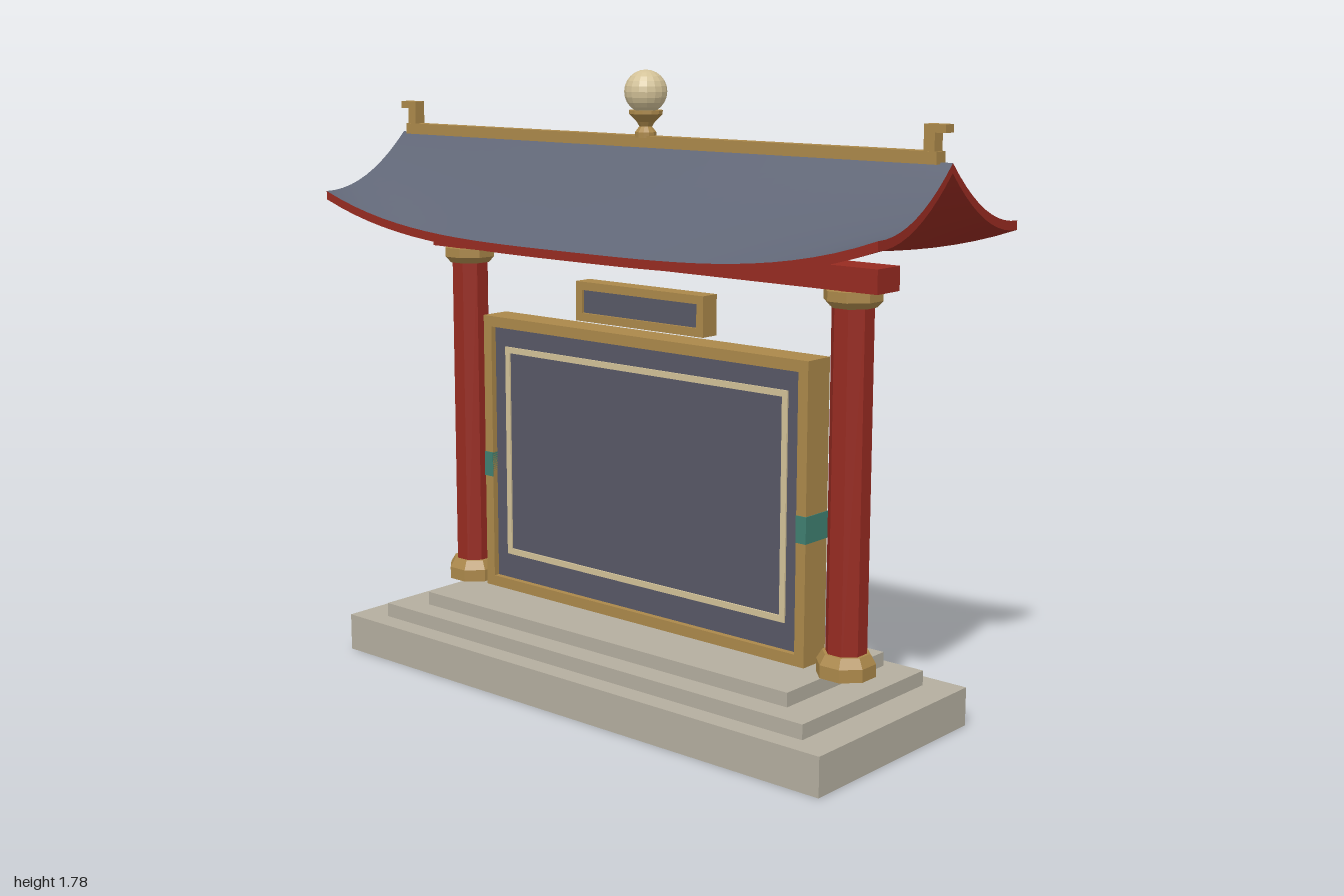
import * as THREE from 'three';
import { ParametricGeometry } from 'three/addons/geometries/ParametricGeometry.js';

const CZ = -0.02; // depth of the centre line of posts, board and ridge

function makeMaterial(name, color, extra = {}) {
  const m = new THREE.MeshStandardMaterial({ color, ...extra });
  m.name = name;
  return m;
}

export function createModel() {
  const model = new THREE.Group();
  model.name = 'noticeBoard';
  const both = { side: THREE.DoubleSide };
  const stone = makeMaterial('stone', 0xb4ae9f, both);
  const red = makeMaterial('red lacquer', 0x972b21, both);
  const tile = makeMaterial('roof slate', 0x606676, both);
  const slate = makeMaterial('board slate', 0x575866);
  const gold = makeMaterial('gold', 0xab884a);
  const cream = makeMaterial('cream', 0xd3c298);
  const teal = makeMaterial('teal', 0x3f7f70);
  const pale = makeMaterial('pale grey', 0xd6d6d6);

  function add(name, geometry, material, parent = model) {
    const mesh = new THREE.Mesh(geometry, material);
    mesh.name = name;
    parent.add(mesh);
    return mesh;
  }
  // Box given by its limits on each axis
  function box(name, mat, x0, x1, y0, y1, z0, z1, parent) {
    const g = new THREE.BoxGeometry(x1 - x0, y1 - y0, z1 - z0);
    g.translate((x0 + x1) / 2, (y0 + y1) / 2, (z0 + z1) / 2);
    return add(name, g, mat, parent);
  }
  // Rectangular frame with an open middle
  function frame(name, mat, w, y0, y1, t, z0, z1) {
    const s = new THREE.Shape();
    s.moveTo(-w, y0).lineTo(w, y0).lineTo(w, y1).lineTo(-w, y1).closePath();
    const h = new THREE.Path();
    h.moveTo(-w + t, y0 + t).lineTo(-w + t, y1 - t).lineTo(w - t, y1 - t).lineTo(w - t, y0 + t).closePath();
    s.holes.push(h);
    const g = new THREE.ExtrudeGeometry(s, { depth: z1 - z0, bevelEnabled: false });
    g.translate(0, 0, z0);
    return add(name, g, mat);
  }
  // Faceted drum standing on y0
  function drum(name, mat, rTop, rBottom, y0, y1, parent) {
    let g = new THREE.CylinderGeometry(rTop, rBottom, y1 - y0, 8);
    g.rotateY(Math.PI / 8);
    g.translate(0, (y0 + y1) / 2, 0);
    g = g.toNonIndexed();
    g.computeVertexNormals();
    return add(name, g, mat, parent);
  }

  // Stepped plinth, hollow below
  const plinth = box('plinth', stone, -0.89, 0.89, 0, 0.11, -0.34, 0.34);
  const faces = Array.from(plinth.geometry.index.array);
  faces.splice(18, 6); // leave out the bottom face
  plinth.geometry.setIndex(faces);
  plinth.geometry.clearGroups();
  box('middleStep', stone, -0.79, 0.79, 0.11, 0.152, -0.277, 0.277);
  box('upperStep', stone, -0.685, 0.685, 0.152, 0.192, -0.238, 0.203);
  box('innerBlock', pale, -0.035, 0.035, 0.005, 0.075, -0.035, 0.035);

  // Posts with gold feet and capitals
  for (const side of [-1, 1]) {
    const post = new THREE.Group();
    post.name = side > 0 ? 'leftPost' : 'rightPost';
    post.position.set(side * 0.712, 0, CZ);
    drum('shaft', red, 0.057, 0.057, 0.192, 1.23, post);
    drum('foot', gold, 0.082, 0.082, 0.192, 0.228, post);
    drum('footChamfer', gold, 0.066, 0.082, 0.228, 0.255, post);
    drum('capitalChamfer', gold, 0.079, 0.062, 1.185, 1.203, post);
    drum('capital', gold, 0.079, 0.079, 1.203, 1.23, post);
    model.add(post);
  }
  box('crossBeam', red, -0.82, 0.82, 1.23, 1.295, -0.07, 0.03);

  // Board with its frame, inlaid line and side bands
  frame('boardFrame', gold, 0.607, 0.195, 1.035, 0.032, -0.068, 0.028);
  box('board', slate, -0.577, 0.577, 0.225, 1.006, -0.05, 0.01);
  frame('inlaidLine', cream, 0.53, 0.303, 0.945, 0.018, 0.01, 0.015);
  for (const s of [-1, 1]) {
    const band = box('frameBand', teal, -0.017, 0.017, 0.54, 0.615, -0.07, 0.03);
    band.position.x = s * 0.592;
  }

  // Small plaque above the board
  box('plaqueBack', gold, -0.238, 0.238, 1.055, 1.17, -0.045, 0.0);
  frame('plaqueFrame', gold, 0.238, 1.055, 1.17, 0.024, 0, 0.014);
  box('plaqueFace', slate, -0.215, 0.215, 1.078, 1.147, 0, 0.006);

  // Curved roof: straight ridge, eaves sweeping up toward the ends
  const THICK = 0.025;
  const roofY = (x, t) =>
    1.568 - 0.27 * (1.25 * t - 0.25 * t * t) + 0.105 * t * t * Math.abs(x) ** 3.4;
  for (const dir of [1, -1]) {
    const slope = new THREE.Group();
    slope.name = dir > 0 ? 'frontRoof' : 'backRoof';
    model.add(slope);
    const point = (x, t, drop, target) => target.set(x, roofY(x, t) - drop, CZ + dir * 0.315 * t);
    const sheet = (name, mat, fn, nu, nv) => add(name, new ParametricGeometry(fn, nu, nv), mat, slope);
    sheet('tiles', tile, (u, v, p) => point(u * 2 - 1, v, 0, p), 32, 10);
    sheet('underside', red, (u, v, p) => point(u * 2 - 1, v, THICK, p), 32, 10);
    sheet('eaveEdge', red, (u, v, p) => point(u * 2 - 1, 1, v * THICK, p), 32, 1);
    for (const s of [-1, 1]) {
      sheet('gableEdge', red, (u, v, p) => point(s, u, v * THICK, p), 10, 1);
    }
  }

  // Ridge with hooked ends
  box('ridge', gold, -0.965, 0.965, 1.563, 1.595, -0.04, 0);
  for (const s of [-1, 1]) {
    const hook = new THREE.Group();
    hook.name = 'ridgeHook';
    box('hookPost', gold, -0.016, 0.016, 1.59, 1.662, -0.038, -0.002, hook);
    box('hookArm', gold, s > 0 ? 0.016 : -0.047, s > 0 ? 0.047 : -0.016, 1.641, 1.662, -0.038, -0.002, hook);
    hook.position.x = s * 0.941;
    model.add(hook);
  }

  // Finial: turned stem and faceted ball
  const profile = [[0, 1.59], [0.03, 1.59], [0.03, 1.605], [0.018, 1.62], [0.026, 1.633], [0.048, 1.655], [0.048, 1.665], [0, 1.665]];
  let stem = new THREE.LatheGeometry(profile.map(([r, y]) => new THREE.Vector2(r, y)), 12).toNonIndexed();
  stem.computeVertexNormals();
  add('finialStem', stem, gold).position.z = CZ;
  const ball = new THREE.SphereGeometry(0.06, 16, 12).toNonIndexed();
  ball.computeVertexNormals();
  add('finialBall', ball, cream).position.set(0, 1.716, CZ);

  return model;
}
